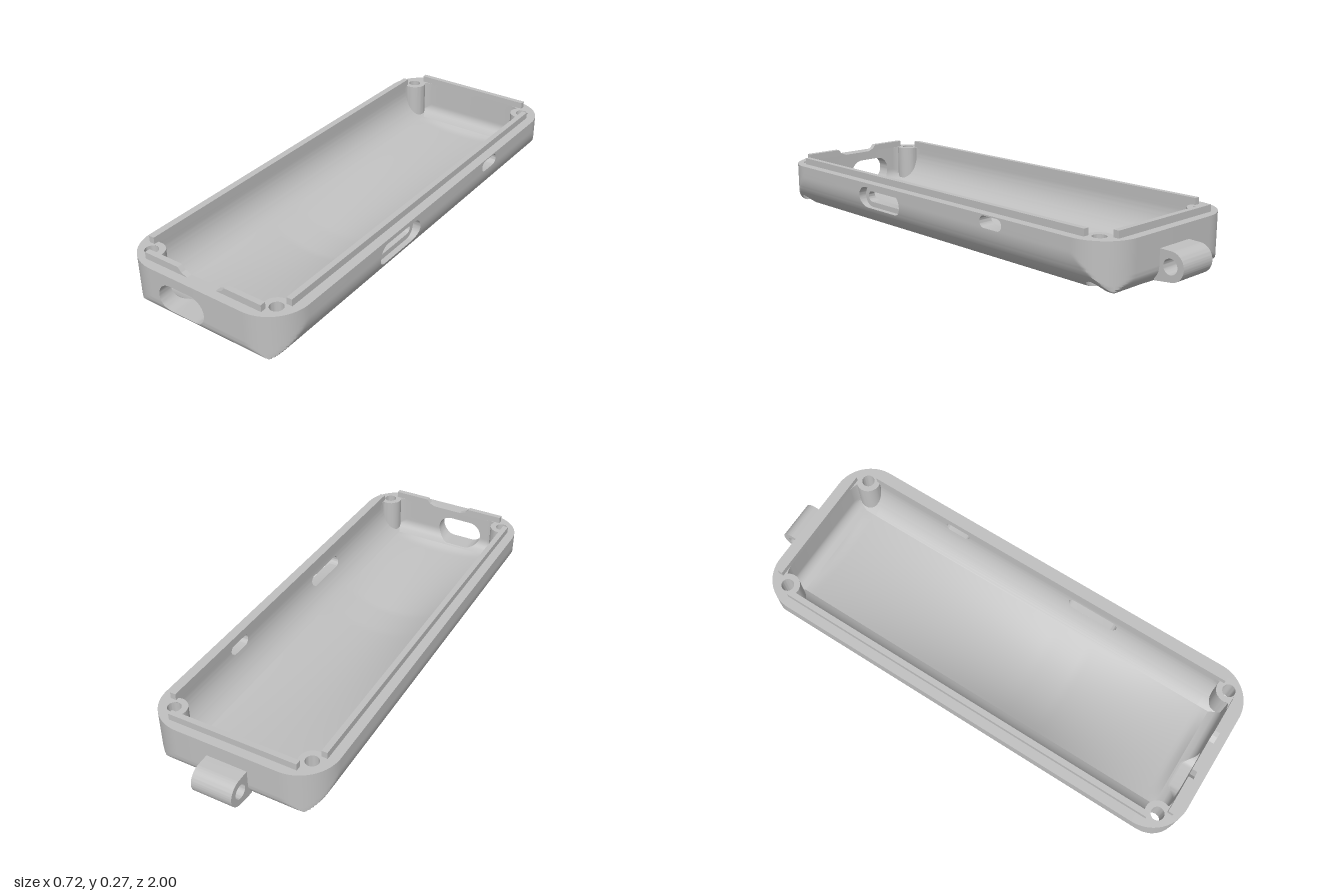
import * as THREE from 'three';
import { toCreasedNormals } from 'three/addons/utils/BufferGeometryUtils.js';

const RIM = 0.247, R = 0.155, W = 0.362, L = 0.95, ZC = 0.05, EDGE = 0.065, FLOOR = 0.09;

// Half width and half length of the outer body and of the cavity at height y
const halfX = y => y > 0.2 ? W : W - R + Math.sqrt(R * R - (0.2 - y) ** 2);
const halfZ = y => L - 0.03 * (Math.max(0, 0.12 - y) / 0.055) ** 2;
const innerX = y => halfX(y + EDGE - FLOOR) - 0.06;
const innerZ = y => y > 0.14 ? 0.893 : 0.843 + Math.sqrt(Math.max(0, 0.0025 - (0.14 - y) ** 2));
const HX = halfX(EDGE), HZ = halfZ(EDGE);

// Shallow belly height, deepest along the middle
function belly(x, z) {
  const rise = (e, run) => 0.25 * Math.min(1, Math.max(0, e) / 0.025) + 0.6 * Math.max(0, e - 0.025) / run;
  const t = Math.min(1, rise(ZC + HZ - z, 0.45), rise(z - ZC + HZ, 0.845));
  return EDGE * (1 - t * Math.max(0, 1 - (x / HX) ** 2));
}
// Belly with finger grooves
function grippedBelly(x, z) {
  let y = belly(x, z);
  const fade = Math.max(0, 1 - (x / 0.2) ** 4);
  for (const [c, depth] of [[0.5, 0.006], [0.28, 0.016], [0.05, 0.016]]) {
    const k = (z - c) / 0.075;
    if (Math.abs(k) < 1) y += depth * fade * (1 - k * k);
  }
  return y;
}
// Underside height at any point, including the rounded edges
function underside(x, z) {
  const ax = Math.abs(x), d = L - Math.abs(z - ZC);
  const side = ax > HX ? 0.2 - Math.sqrt(R * R - (ax - W + R) ** 2) : 0;
  const end = d < 0.03 ? 0.12 - 0.055 * Math.sqrt(Math.max(0, d) / 0.03) : 0;
  return Math.max(side, end, belly(x, z));
}

// Rounded rectangle (counter-clockwise); a pill when r equals the half height
function roundRect(cu, cv, hw, hh, r, n = 12) {
  const pts = [];
  [[1, 1], [-1, 1], [-1, -1], [1, -1]].forEach(([su, sv], q) => {
    for (let i = 0; i <= n; i++) {
      const a = (q + i / n) * Math.PI / 2;
      pts.push([cu + su * (hw - r) + r * Math.cos(a), cv + sv * (hh - r) + r * Math.sin(a)]);
    }
  });
  return pts;
}

// Smooth grid surface from point(i, j)
function grid(nu, nv, point) {
  const pos = [], idx = [];
  for (let j = 0; j <= nv; j++) for (let i = 0; i <= nu; i++) pos.push(...point(i, j));
  for (let j = 0; j < nv; j++) for (let i = 0; i < nu; i++) {
    const a = j * (nu + 1) + i, b = a + nu + 1;
    idx.push(a, b, a + 1, a + 1, b, b + 1);
  }
  const g = new THREE.BufferGeometry();
  g.setAttribute('position', new THREE.Float32BufferAttribute(pos, 3));
  g.setIndex(idx);
  return toCreasedNormals(g, 0.5);
}
// Strip joining two closed contours
const strip = (pts, a, b) => grid(pts.length, 1, (i, j) => (j ? b : a)(...pts[i % pts.length]));

// Convex cutter: a contour on axes i and j, limited to one side along axis k
function prism(pts, i, j, k, min) {
  const lim = [0, 0, 0, -min];
  lim[k] = -1;
  const planes = [lim];
  pts.forEach((p, n) => {
    const q = pts[(n + 1) % pts.length], du = q[0] - p[0], dv = q[1] - p[1], len = Math.hypot(du, dv);
    if (len < 1e-6) return;
    const pl = [0, 0, 0, 0];
    pl[i] = dv / len; pl[j] = -du / len;
    pl[3] = pl[i] * p[0] + pl[j] * p[1];
    planes.push(pl);
  });
  return planes;
}
function split(poly, [a, b, c, d]) {
  const inside = [], outside = [], dist = p => a * p[0] + b * p[1] + c * p[2] - d;
  poly.forEach((p, n) => {
    const q = poly[(n + 1) % poly.length], dp = dist(p), dq = dist(q);
    (dp < 0 ? inside : outside).push(p);
    if ((dp < 0) !== (dq < 0)) {
      const m = p.map((v, e) => v + (q[e] - v) * dp / (dp - dq));
      inside.push(m); outside.push(m);
    }
  });
  return [inside, outside];
}
// Remove the cutters' volumes from a surface
function cut(geo, cutters) {
  const g = geo.index ? geo.toNonIndexed() : geo, P = g.attributes.position.array, N = g.attributes.normal.array;
  let polys = [];
  for (let t = 0; t < P.length; t += 9)
    polys.push([0, 3, 6].map(o => [...P.slice(t + o, t + o + 3), ...N.slice(t + o, t + o + 3)]));
  for (const planes of cutters) polys = polys.flatMap(poly => {
    const out = [];
    let rest = poly;
    for (const pl of planes) {
      const [inn, outer] = split(rest, pl);
      if (inn.length < 3) return [poly];
      if (outer.length > 2) out.push(outer);
      rest = inn;
    }
    return out;
  });
  const pos = [], nor = [];
  for (const p of polys) for (let n = 1; n < p.length - 1; n++) for (const v of [p[0], p[n], p[n + 1]]) {
    pos.push(...v.slice(0, 3)); nor.push(...v.slice(3));
  }
  const res = new THREE.BufferGeometry();
  res.setAttribute('position', new THREE.Float32BufferAttribute(pos, 3));
  res.setAttribute('normal', new THREE.Float32BufferAttribute(nor, 3));
  return res;
}

export function createModel() {
  const group = new THREE.Group();
  const grey = new THREE.MeshStandardMaterial({ color: 0xc0c0c0, side: THREE.DoubleSide });
  grey.name = 'grey plastic';
  const add = (name, geo) => {
    const m = new THREE.Mesh(geo, grey);
    m.name = name;
    group.add(m);
    return m;
  };

  // Openings: end port, recessed side slot, small side slot, corner screws
  const port = roundRect(-0.07, 0.15, 0.104, 0.058, 0.058);
  const recess = roundRect(0.185, 0.298, 0.045, 0.132, 0.045);
  const slot = roundRect(0.183, 0.298, 0.022, 0.112, 0.022);
  const button = roundRect(0.219, -0.362, 0.023, 0.057, 0.023);
  const corners = [[1, 1], [-1, 1], [-1, -1], [1, -1]];
  const screwAt = ([sx, sz]) => [sx * 0.284, 0.056 + sz * 0.859];
  const screwCuts = r => corners.map(c => prism(roundRect(...screwAt(c), r, r, r, 6), 0, 2, 1, -1));
  const throughCuts = [prism(port, 0, 1, 2, 0.5), prism(button, 1, 2, 0, 0.1)];
  const wideScrews = screwCuts(0.04), narrowScrews = screwCuts(0.026);

  // Walls: the plan outline narrowed by the side and end profiles at each level
  function wall(plan, fx, fz, low) {
    return grid(plan.length, 24, (i, j) => {
      const y = RIM + (low - RIM) * j / 24, [x, z] = plan[i % plan.length];
      const hx = fx(y), hz = fz(y);
      return [Math.max(-hx, Math.min(hx, x)), y, ZC + Math.max(-hz, Math.min(hz, z))];
    });
  }
  const outline = roundRect(0, 0, W, L, R, 20), cavity = roundRect(0, 0, innerX(RIM), innerZ(RIM), 0.1, 20);
  add('outerWall', cut(wall(outline, halfX, halfZ, EDGE), [...throughCuts, prism(recess, 1, 2, 0, 0.1), ...wideScrews]));
  add('innerWall', cut(wall(cavity, innerX, innerZ, FLOOR), [...throughCuts, prism(slot, 1, 2, 0, 0.1), ...narrowScrews]));

  // Underside and cavity floor, both spanning their wall's lower edge
  const panel = (hx, hz, f) => grid(28, 100, (i, j) => {
    const u = i / 14 - 1, v = j / 50 - 1;
    return [hx * u, f(HX * u, ZC + HZ * v), ZC + hz * v];
  });
  add('underside', cut(panel(HX, HZ, grippedBelly), wideScrews));
  add('floor', panel(innerX(FLOOR), innerZ(FLOOR), (x, z) => belly(x, z) + FLOOR - EDGE));

  // Rim
  const vec = pts => pts.map(([x, y]) => new THREE.Vector2(x, y));
  const rimShape = new THREE.Shape(vec(outline));
  rimShape.holes.push(new THREE.Path(vec(cavity)));
  add('rim', cut(new THREE.ShapeGeometry(rimShape).rotateX(-Math.PI / 2).translate(0, RIM, ZC), narrowScrews));

  // Linings of the openings
  const ledgeX = 0.327;
  add('portLining', strip(port, (x, y) => [x, y, ZC + halfZ(y)], (x, y) => [x, y, ZC + innerZ(y)]));
  add('buttonLining', strip(button, (y, z) => [halfX(y), y, z], (y, z) => [innerX(y), y, z]));
  add('recessLining', strip(recess, (y, z) => [halfX(y), y, z], (y, z) => [ledgeX, y, z]));
  add('slotLining', strip(slot, (y, z) => [ledgeX, y, z], (y, z) => [innerX(y), y, z]));
  add('slotLedge', grid(recess.length, 1, (i, j) => [ledgeX, ...(j ? slot : recess)[i % slot.length]]));

  // Corner screw bosses with counterbored holes
  const seat = 0.12;
  for (const corner of corners) {
    const [x, z] = screwAt(corner);
    const [hole, bore, top] = [0.026, 0.04, 0.05].map(r => roundRect(x, z, r, r, r, 8));
    const flat = (o, y) => grid(hole.length, 1, (i, j) => {
      const [a, b] = (j ? hole : o)[i % hole.length];
      return [a, y, b];
    });
    add('screwHole', strip(hole, (a, b) => [a, RIM, b], (a, b) => [a, seat, b]));
    add('counterbore', strip(bore, (a, b) => [a, seat, b], (a, b) => [a, underside(a, b), b]));
    add('screwSeat', flat(bore, seat));
    add('bossTop', flat(top, RIM + 0.0005));
    const facing = Math.atan2(-corner[1], -corner[0]);
    add('boss', grid(24, 1, (i, j) => {
      const a = facing + (i / 24 - 0.5) * 3.4;
      return [x + 0.05 * Math.cos(a), j ? 0.1 : RIM, z + 0.05 * Math.sin(a)];
    }));
  }

  // Raised lip segments, the front one notched
  const lipTop = 0.274, lipLow = 0.24, lipW = 0.261;
  for (const s of [-1, 1]) {
    const side = new THREE.BoxGeometry(0.023, lipTop - lipLow, 1.655);
    add('sideLip', side).position.set(s * 0.3125, (lipTop + lipLow) / 2, 0.0575);
  }
  const endLip = (name, pts, z) => {
    const g = new THREE.ExtrudeGeometry(new THREE.Shape(vec(pts)), { depth: 0.022, bevelEnabled: false });
    add(name, g.translate(0, 0, z));
  };
  endLip('backLip', [[-lipW, lipLow], [lipW, lipLow], [lipW, lipTop], [-lipW, lipTop]], -0.865);
  endLip('frontLip', [[-lipW, lipLow], [lipW, lipLow], [lipW, lipTop], [0.105, lipTop], [0.09, 0.257], [0.065, RIM],
    [-0.065, RIM], [-0.09, 0.257], [-0.105, lipTop], [-lipW, lipTop]], 0.943);

  // Strap lug on the back
  const lug = new THREE.Shape();
  lug.moveTo(0.88, 0.068).lineTo(0.945, 0.075);
  lug.absarc(0.945, 0.13, 0.055, -Math.PI / 2, Math.PI / 2, false);
  lug.lineTo(0.88, 0.187);
  lug.holes.push(new THREE.Path().absarc(0.945, 0.13, 0.029, 0, Math.PI * 2, true));
  const lugGeo = new THREE.ExtrudeGeometry(lug, { depth: 0.165, bevelEnabled: false, curveSegments: 20 });
  add('strapLug', toCreasedNormals(lugGeo.rotateY(Math.PI / 2).translate(-0.0825, 0, 0), 0.5));
  return group;
}
